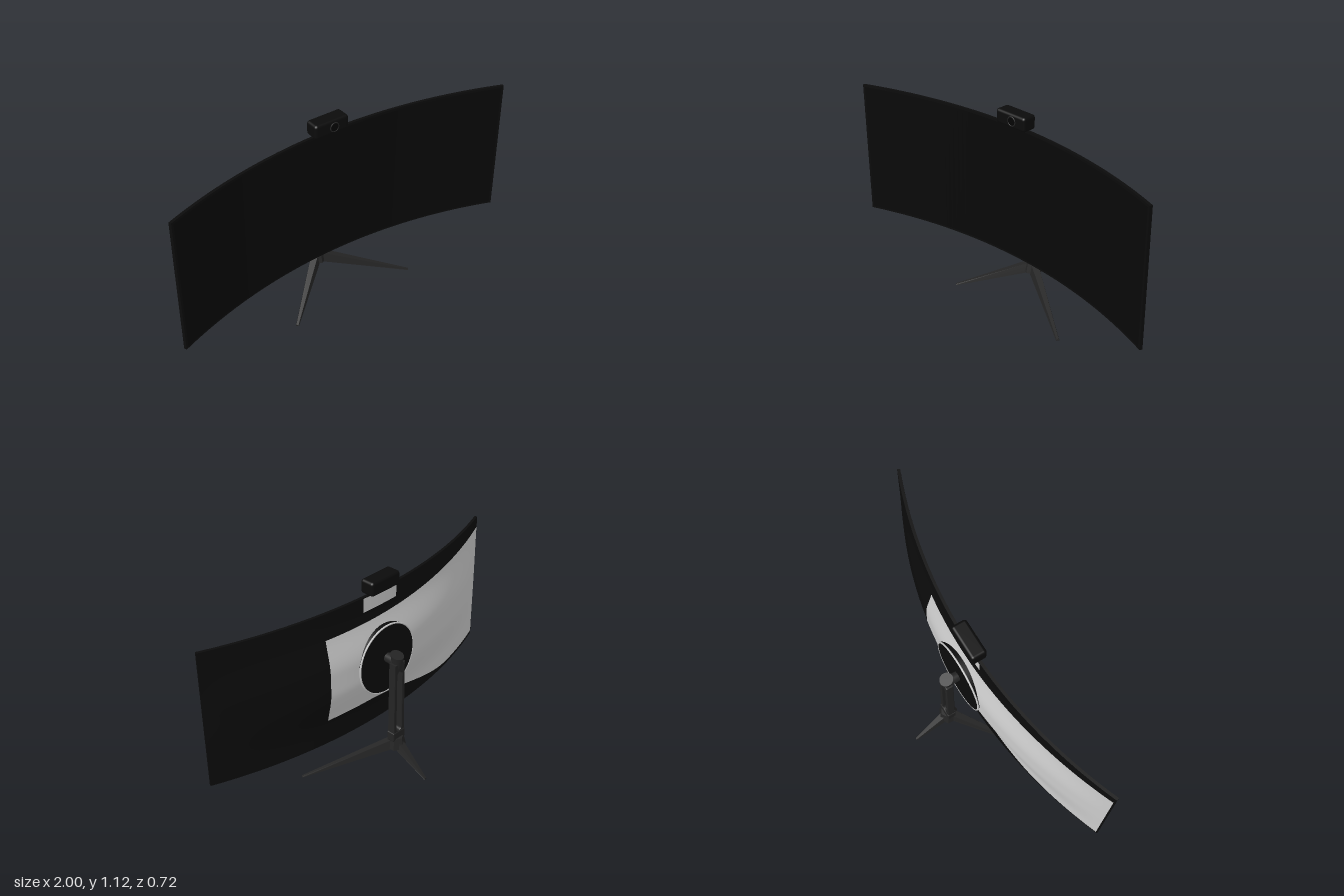
import * as THREE from 'three';
import { RoundedBoxGeometry } from 'three/addons/geometries/RoundedBoxGeometry.js';

const R = 2.76, HALF = 1.013, MID = 0.65, HALF_H = 0.39;
const material = (color, side = THREE.FrontSide) => new THREE.MeshStandardMaterial({ color, side });
const black = material(0x0b0b0b), dark = material(0x242424), lensBlack = material(0x040404);
const grey = material(0xcccccc, THREE.DoubleSide), screenBlack = material(0x080808, THREE.DoubleSide);

function add(parent, name, geometry, mat, x = 0, y = 0, z = 0) {
  const mesh = new THREE.Mesh(geometry, mat);
  mesh.name = name;
  mesh.position.set(x, y, z);
  parent.add(mesh);
  return mesh;
}

// Move every vertex of a geometry by a rule
function reshape(geometry, rule) {
  const p = geometry.attributes.position, v = new THREE.Vector3();
  for (let i = 0; i < p.count; i++) {
    rule(v.fromBufferAttribute(p, i));
    p.setXYZ(i, v.x, v.y, v.z);
  }
  geometry.computeVertexNormals();
  return geometry;
}

// Panel thickness: slim rim, swelling toward the middle of the back
function thickness(u, y) {
  const swell = 1 - THREE.MathUtils.smoothstep(Math.abs(y - MID), 0.05, 0.31);
  return 0.016 + 0.05 * swell * (1 - (u / HALF) ** 2);
}

// Point at a given depth behind the curved screen face
function onCurve(v, u, y, depth) {
  const a = Math.asin(u / R), r = R + depth;
  return v.set(r * Math.sin(a), y, R - r * Math.cos(a));
}

// Skin over the back, running from u0 to u1
function backPatch(u0, u1, low, high, offset) {
  return reshape(new THREE.PlaneGeometry(1, 1, 50, 30), (v) => {
    const f = v.x + 0.5, g = v.y + 0.5, u = THREE.MathUtils.lerp(u0, u1, f);
    const y = THREE.MathUtils.lerp(low(f), high(f), g);
    onCurve(v, u, y, thickness(u, y) + offset);
  });
}

// Tapered leg from the hub to a foot on the ground
function addLeg(parent, name, hub, tx, tz) {
  const dx = tx - hub.x, dz = tz - hub.z, length = Math.hypot(dx, dz);
  const geometry = reshape(new THREE.BoxGeometry(1, 1, 1), (v) => {
    const f = v.x + 0.5;
    const narrow = v.y > 0 ? 0.65 : 1;
    const h = THREE.MathUtils.lerp(0.055, 0.006, f);
    const w = THREE.MathUtils.lerp(0.06, 0.018, f) * narrow;
    v.set(THREE.MathUtils.lerp(0.015, length, f),
      THREE.MathUtils.lerp(0.148, 0.003, f) + v.y * h, v.z * w);
  });
  add(parent, name, geometry, dark, hub.x, 0, hub.z).rotation.y = Math.atan2(-dz, dx);
}

function createModel() {
  const model = new THREE.Group();
  model.name = 'curvedMonitor';

  // Everything but the legs is turned slightly about the vertical
  const turned = new THREE.Group();
  turned.name = 'turnedAssembly';
  turned.position.set(-0.034, 0, -0.012);
  turned.rotation.y = 0.18;
  model.add(turned);

  // Curved display body
  add(turned, 'displayBody', reshape(new THREE.BoxGeometry(2, 2, 1, 64, 30, 1), (v) => {
    const u = v.x * HALF, y = MID + v.y * HALF_H;
    onCurve(v, u, y, v.z > 0 ? 0 : thickness(u, y));
  }), black);
  add(turned, 'screen', reshape(new THREE.PlaneGeometry(2, 2, 64, 1), (v) =>
    onCurve(v, v.x * (HALF - 0.012), MID + v.y * (HALF_H - 0.012), -0.0012)), screenBlack);

  // Grey covers on the back
  add(turned, 'backCover', backPatch(0.37, -1.005,
    (f) => 0.41 - 0.13 * THREE.MathUtils.smoothstep(f, 0.2, 0.75),
    (f) => 0.895 + 0.085 * f * f, 0.002), grey);
  add(turned, 'cameraClip', backPatch(0.12, -0.12, () => 0.955, () => 1.035, 0.002), grey);

  // Round mounting plate and its trim
  const plate = add(turned, 'mountPlate', new THREE.CylinderGeometry(0.2, 0.2, 0.04, 64), black, 0, MID, -0.05);
  plate.rotation.x = Math.PI / 2;
  add(turned, 'plateTrim', new THREE.TorusGeometry(0.2, 0.005, 8, 64), grey, 0, MID, -0.067);

  // Stand column with a long slot
  const stand = new THREE.Group();
  stand.name = 'stand';
  stand.position.z = -0.138;
  turned.add(stand);
  const outline = new THREE.Shape();
  outline.moveTo(-0.042, 0.17).lineTo(0.042, 0.17).lineTo(0.038, 0.66).lineTo(-0.038, 0.66).closePath();
  const slot = new THREE.Path();
  slot.absarc(0, 0.245, 0.018, Math.PI, 2 * Math.PI, false);
  slot.absarc(0, 0.59, 0.018, 0, Math.PI, false);
  slot.closePath();
  outline.holes.push(slot);
  add(stand, 'column', new THREE.ExtrudeGeometry(outline, {
    depth: 0.034, bevelEnabled: true, bevelSize: 0.004, bevelOffset: -0.004,
    bevelThickness: 0.005, bevelSegments: 2, curveSegments: 12,
  }), dark, 0, 0, -0.017);

  // Flared head with a sloping top
  add(stand, 'columnHead', reshape(new THREE.CylinderGeometry(0.036, 0.024, 0.08, 32), (v) => {
    if (v.y > 0) v.y += v.z * 0.3;
  }), dark, 0, 0.662, 0);
  const arm = add(stand, 'mountArm', new THREE.CylinderGeometry(0.026, 0.03, 0.075, 24), dark, 0, 0.66, 0.037);
  arm.rotation.x = Math.PI / 2;

  // Collar and hub
  add(stand, 'collar', new RoundedBoxGeometry(0.09, 0.055, 0.05, 2, 0.006), dark, 0, 0.2, 0);
  const hubShape = new THREE.CylinderGeometry(0.043, 0.058, 0.065, 6).toNonIndexed();
  hubShape.computeVertexNormals();
  add(stand, 'hub', hubShape, dark, 0, 0.153, 0);

  // Three legs
  const hub = { x: -0.06, z: -0.148 };
  addLeg(model, 'rightFrontLeg', hub, -0.335, 0.195);
  addLeg(model, 'leftFrontLeg', hub, 0.43, 0.047);
  addLeg(model, 'rearLeg', hub, -0.1, -0.363);

  // Camera on the top edge
  const camera = new THREE.Group();
  camera.name = 'webcam';
  camera.position.set(-0.01, 1.08, -0.008);
  turned.add(camera);
  add(camera, 'webcamBody', new RoundedBoxGeometry(0.205, 0.08, 0.086, 4, 0.016), black);
  add(camera, 'lensRing', new THREE.TorusGeometry(0.025, 0.003, 8, 32), dark, 0.012, 0, 0.043);
  const lens = add(camera, 'lens', new THREE.CylinderGeometry(0.022, 0.022, 0.006, 32), lensBlack, 0.012, 0, 0.042);
  lens.rotation.x = Math.PI / 2;

  return model;
}

export { createModel };
